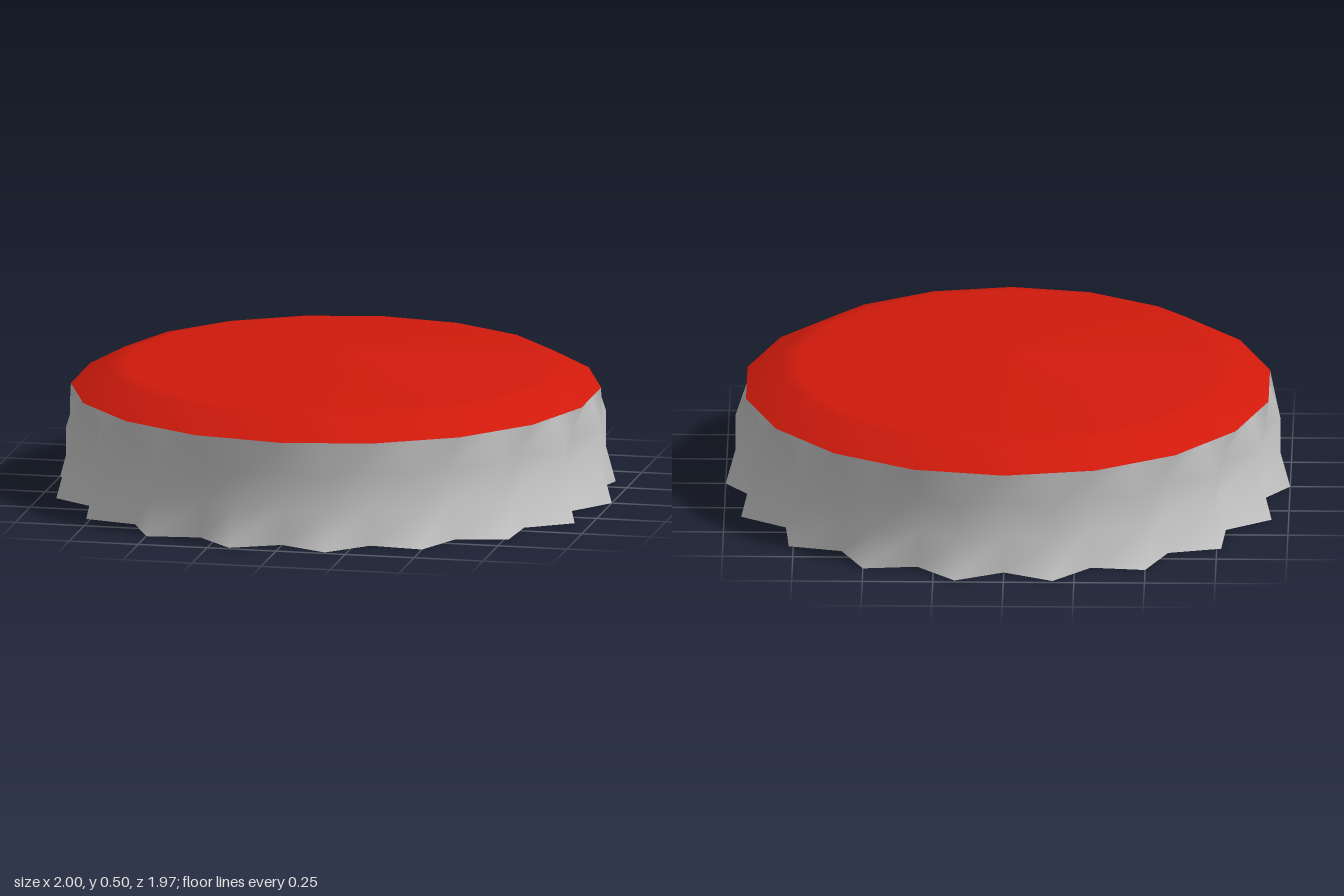
import * as THREE from 'three';
import { mergeVertices } from 'three/addons/utils/BufferGeometryUtils.js';

const FLUTES = 18;

// Rings of the skirt from top to bottom: height, valley radius, peak radius
const RINGS = [
  [0.38, 0.94, 0.94 * Math.cos(Math.PI / FLUTES)],
  [0.26, 0.88, 0.965],
  [0.13, 0.87, 0.965],
  [0, 0.9, 1],
];

// Fluted skirt: an open tube whose columns alternate between valley and peak
function createSkirt() {
  const columns = FLUTES * 2;
  let geometry = new THREE.CylinderGeometry(1, 1, 1, columns, RINGS.length - 1, true);
  const pos = geometry.attributes.position;
  for (let i = 0; i < pos.count; i++) {
    const column = i % (columns + 1);
    const [y, valley, peak] = RINGS[Math.floor(i / (columns + 1))];
    const r = column % 2 ? peak : valley;
    const angle = (column / columns) * Math.PI * 2;
    pos.setXYZ(i, r * Math.sin(angle), y, r * Math.cos(angle));
  }
  // weld the seam so the shading runs smoothly all round
  geometry.deleteAttribute('uv');
  geometry.deleteAttribute('normal');
  geometry = mergeVertices(geometry);
  geometry.computeVertexNormals();
  const mesh = new THREE.Mesh(geometry,
    new THREE.MeshStandardMaterial({ color: 0xcccccc, side: THREE.DoubleSide }));
  mesh.name = 'flutedSkirt';
  return mesh;
}

// Shallow domed lid with a bevelled rim, meeting the valleys of the skirt
function createLid() {
  const profile = [[0.94, 0.38], [0.81, 0.45], [0.75, 0.46], [0, 0.5]]
    .map(([r, y]) => new THREE.Vector2(r, y));
  const mesh = new THREE.Mesh(new THREE.LatheGeometry(profile, FLUTES),
    new THREE.MeshStandardMaterial({ color: 0xd01a0c, side: THREE.DoubleSide }));
  mesh.name = 'domedLid';
  return mesh;
}

export function createModel() {
  const group = new THREE.Group();
  group.name = 'bottleCap';
  group.add(createSkirt(), createLid());
  return group;
}
